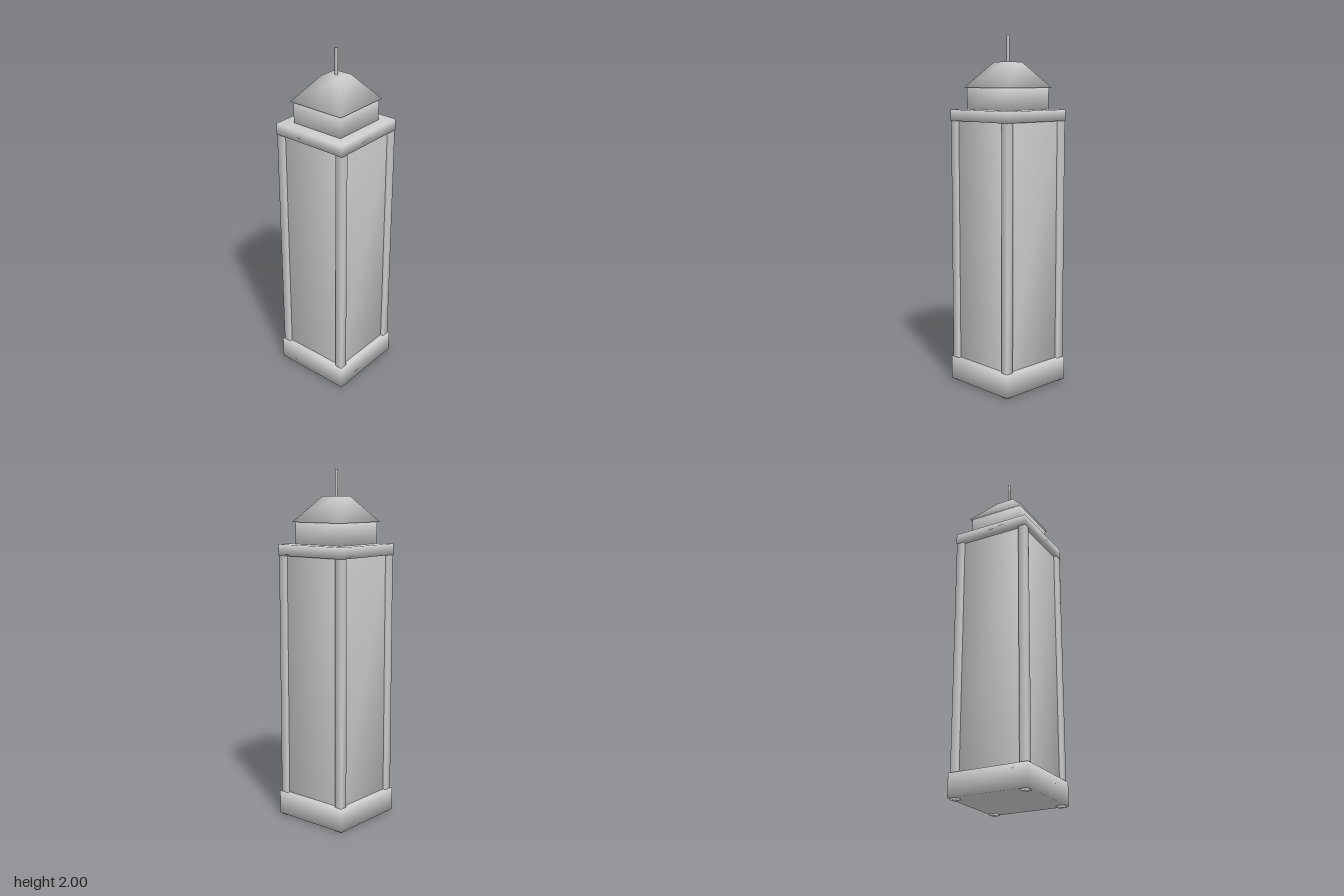
import * as THREE from 'three';
import { mergeVertices } from 'three/addons/utils/BufferGeometryUtils.js';

const material = new THREE.MeshStandardMaterial({ color: 0xcccccc });

// Weld the corners so the shading runs smoothly around every block
function smooth(geometry) {
  geometry.deleteAttribute('normal');
  geometry.deleteAttribute('uv');
  const welded = mergeVertices(geometry, 1e-4);
  welded.computeVertexNormals();
  return welded;
}

// Upright square block given by its half width and its bottom and top heights
function block(name, half, y0, y1) {
  const geometry = new THREE.BoxGeometry(half * 2, y1 - y0, half * 2);
  geometry.translate(0, (y0 + y1) / 2, 0);
  const mesh = new THREE.Mesh(smooth(geometry), material);
  mesh.name = name;
  return mesh;
}

// Four-sided tapered block
function taperedBlock(name, halfBottom, halfTop, y0, y1) {
  const geometry = new THREE.CylinderGeometry(
    halfTop * Math.SQRT2, halfBottom * Math.SQRT2, y1 - y0, 4);
  geometry.rotateY(Math.PI / 4).translate(0, (y0 + y1) / 2, 0);
  const mesh = new THREE.Mesh(smooth(geometry), material);
  mesh.name = name;
  return mesh;
}

export function createModel() {
  const tower = new THREE.Group();
  tower.name = 'tower';

  // Plinth, shaft and cornice
  tower.add(block('base', 0.235, 0.007, 0.14));
  tower.add(block('shaft', 0.208, 0.1, 1.55));
  tower.add(block('cornice', 0.229, 1.525, 1.588));

  // Corner pillars, running through the base down to the ground
  const pillars = new THREE.Group();
  pillars.name = 'cornerPillars';
  for (const sx of [-1, 1]) {
    for (const sz of [-1, 1]) {
      const pillar = block('cornerPillar', 0.022, 0, 1.54);
      pillar.position.set(sx * 0.205, 0, sz * 0.205);
      pillars.add(pillar);
    }
  }
  tower.add(pillars);

  // Upper storey, hipped roof and spire
  tower.add(block('upperStorey', 0.162, 1.57, 1.715));
  tower.add(taperedBlock('roof', 0.174, 0.055, 1.71, 1.852));
  tower.add(block('spire', 0.006, 1.84, 2));

  return tower;
}
